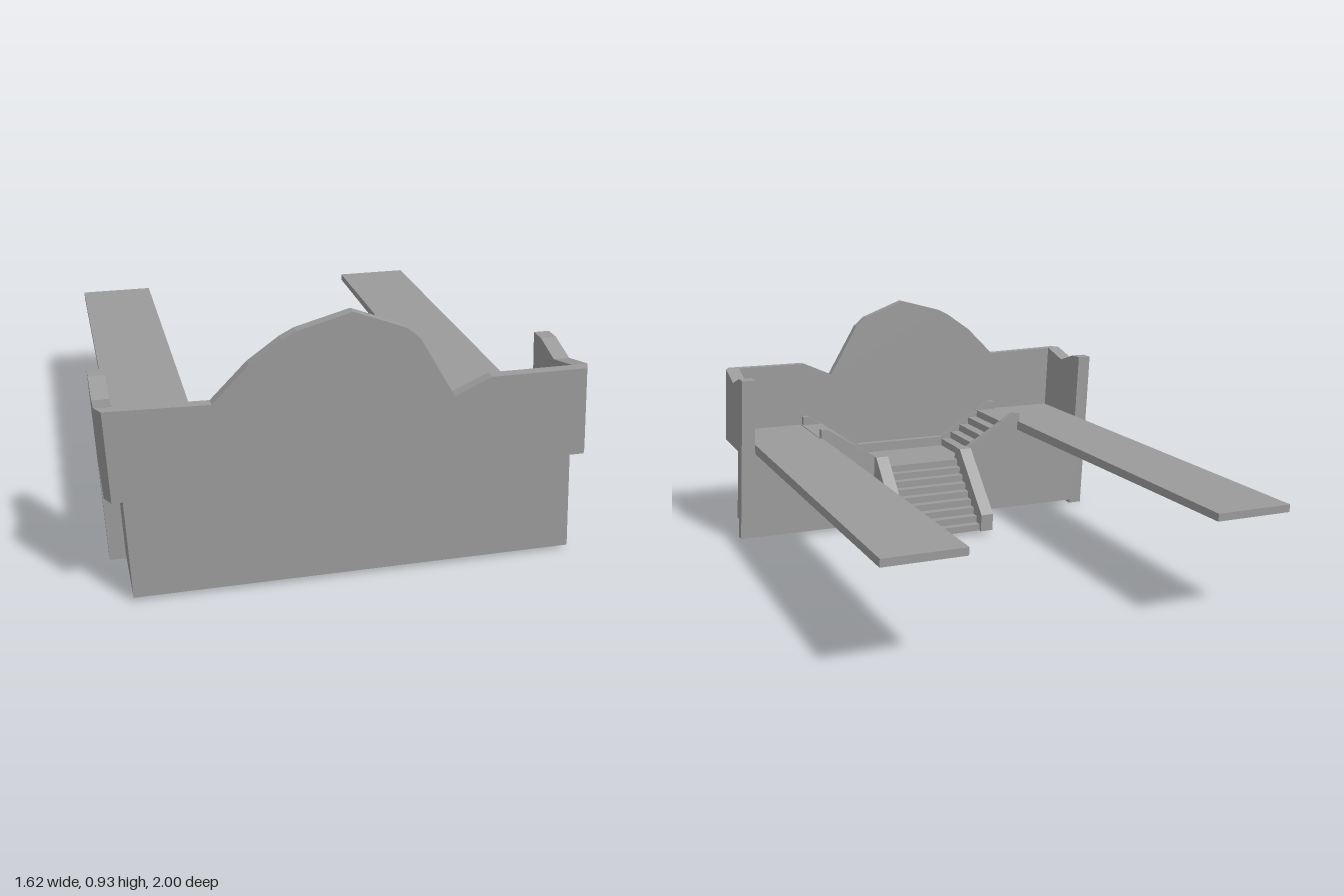
import * as THREE from 'three';

export function createModel() {
  const model = new THREE.Group();
  const material = new THREE.MeshStandardMaterial({
    color: 0x9b9b9b, flatShading: true, side: THREE.DoubleSide,
  });

  // The whole structure is turned a little and leans slightly to one side
  const skew = new THREE.Matrix4().set(
    1, -0.05, 0.045, -0.009,
    0, 1, 0, 0,
    -0.05, 0, 1, 0.005,
    0, 0, 0, 1,
  );

  const add = (name, geometry) => {
    geometry.applyMatrix4(skew);
    geometry.computeVertexNormals();
    const mesh = new THREE.Mesh(geometry, material);
    mesh.name = name;
    model.add(mesh);
  };
  const outline = (points) => new THREE.Shape(points.map(([a, b]) => new THREE.Vector2(a, b)));
  const extrude = (points, depth) => new THREE.ExtrudeGeometry(outline(points), { depth, bevelEnabled: false });
  // Outline in x, y running from z0 to z1
  const slab = (points, z0, z1) => extrude(points, z1 - z0).translate(0, 0, z0);
  // Outline in z, y running from x0 to x1
  const prism = (points, x0, x1) => extrude(points, x1 - x0).rotateY(-Math.PI / 2).translate(x1, 0, 0);
  // Left half of an outline plus its mirror image
  const mirrored = (half) => [...half, ...half.map(([x, y]) => [-x, y]).reverse()];

  const base = 0.015, deck = 0.41, landing = 0.26;
  const back = 0.61, front = 0.927;

  // Front parapet with the stepped arch and a dipped lower edge
  const parapet = slab([
    [-0.79, 0.372], [-0.437, 0.367], [-0.212, 0.256], [0.218, 0.256], [0.454, 0.372], [0.79, 0.372],
    [0.79, 0.675], [0.449, 0.675], [0.326, 0.62], [0.216, 0.825], [0.173, 0.863], [0.006, 0.928],
    [-0.171, 0.88], [-0.217, 0.857], [-0.321, 0.785], [-0.442, 0.667], [-0.79, 0.675],
  ], 0.92, 0.957);
  const p = parapet.attributes.position;
  for (let i = 0; i < p.count; i++) { // chamfered outer corners
    if (Math.abs(p.getX(i)) > 0.78 && p.getZ(i) > 0.94) p.setX(i, Math.sign(p.getX(i)) * 0.77);
  }
  add('frontParapet', parapet);

  // Thin front and back walls, open underneath
  const wall = mirrored([[-0.735, base], [-0.735, 0.385], [-0.455, 0.385], [-0.2, 0.25]]);
  add('frontWall', new THREE.ShapeGeometry(outline(wall)).translate(0, 0, front));
  add('backWall', new THREE.ShapeGeometry(outline(wall)).rotateY(Math.PI).translate(0, 0, back));

  // Sloping curbs along the side stairs; the rear one opens at the back stairs
  const curb = [[-0.2, 0.25], [-0.455, 0.385], [-0.455, 0.445], [-0.43, 0.445], [-0.2, 0.3]];
  add('frontCurb', slab(mirrored(curb), 0.89, front));

  // Side stairs descending to the landing, as one bent floor
  const top = [[-0.46, deck], [-0.37, deck]];
  for (let i = 1; i <= 5; i++) {
    const x = -0.37 + (i - 1) * 0.0425;
    top.push([x, deck - i * 0.03]);
    if (i < 5) top.push([x + 0.0425, deck - i * 0.03]);
  }
  const under = [[0.46, 0.38], [0.37, 0.375], [0.2, 0.23], [-0.2, 0.23], [-0.37, 0.375], [-0.46, 0.38]];
  add('landingAndSideStairs', slab([...mirrored(top), ...under], 0.612, 0.925));

  // Back stairs from the landing to the ground
  const steps = 8, foot = 0.335, run = (0.612 - foot) / steps;
  const rise = (landing - base) / (steps + 1);
  const flight = [[0.612, base], [foot, base]];
  for (let i = 0; i < steps; i++) {
    const y = base + (i + 1) * rise;
    flight.push([foot + i * run, y], [foot + (i + 1) * run, y]);
  }
  add('backStairs', prism(flight, -0.167, 0.167));

  // Parts on both sides
  for (const [side, s] of [['left', 1], ['right', -1]]) {
    const span = (a, b) => (s > 0 ? [a, b] : [-b, -a]);

    add(side + 'RearCurb', slab(
      [...curb, [-0.165, 0.3], [-0.165, 0.25]].map(([x, y]) => [-s * x, y]), back, 0.642));

    add(side + 'StairCheek', prism(
      [[0.32, base], [0.612, base], [0.612, 0.25], [0.642, 0.25], [0.642, 0.31], [0.59, 0.31], [0.32, 0.085]],
      ...span(0.165, 0.218)));

    // Ramp, slightly thicker towards the front
    add(side + 'Ramp', prism(
      [[-0.967, 0.383], [0.925, 0.367], [0.925, 0.407], [-0.967, deck]], ...span(0.447, 0.733)));

    add(side + 'SideWall', new THREE.PlaneGeometry(front - back, 0.37)
      .rotateY(s * Math.PI / 2).translate(s * 0.735, base + 0.185, (front + back) / 2));

    // Side parapet with a shallow notch in its top edge
    add(side + 'SideParapet', prism(
      [[0.655, 0.372], [0.92, 0.372], [0.92, 0.675], [0.78, 0.64], [0.67, 0.675], [0.655, 0.675]],
      ...span(0.735, 0.79)));

    const foot = s > 0 ? base : 0;
    add(side + 'Pier', prism(
      [[back, foot], [0.655, foot], [0.655, 0.675], [back, 0.675]], ...span(0.735, 0.79)));
  }

  return model;
}
